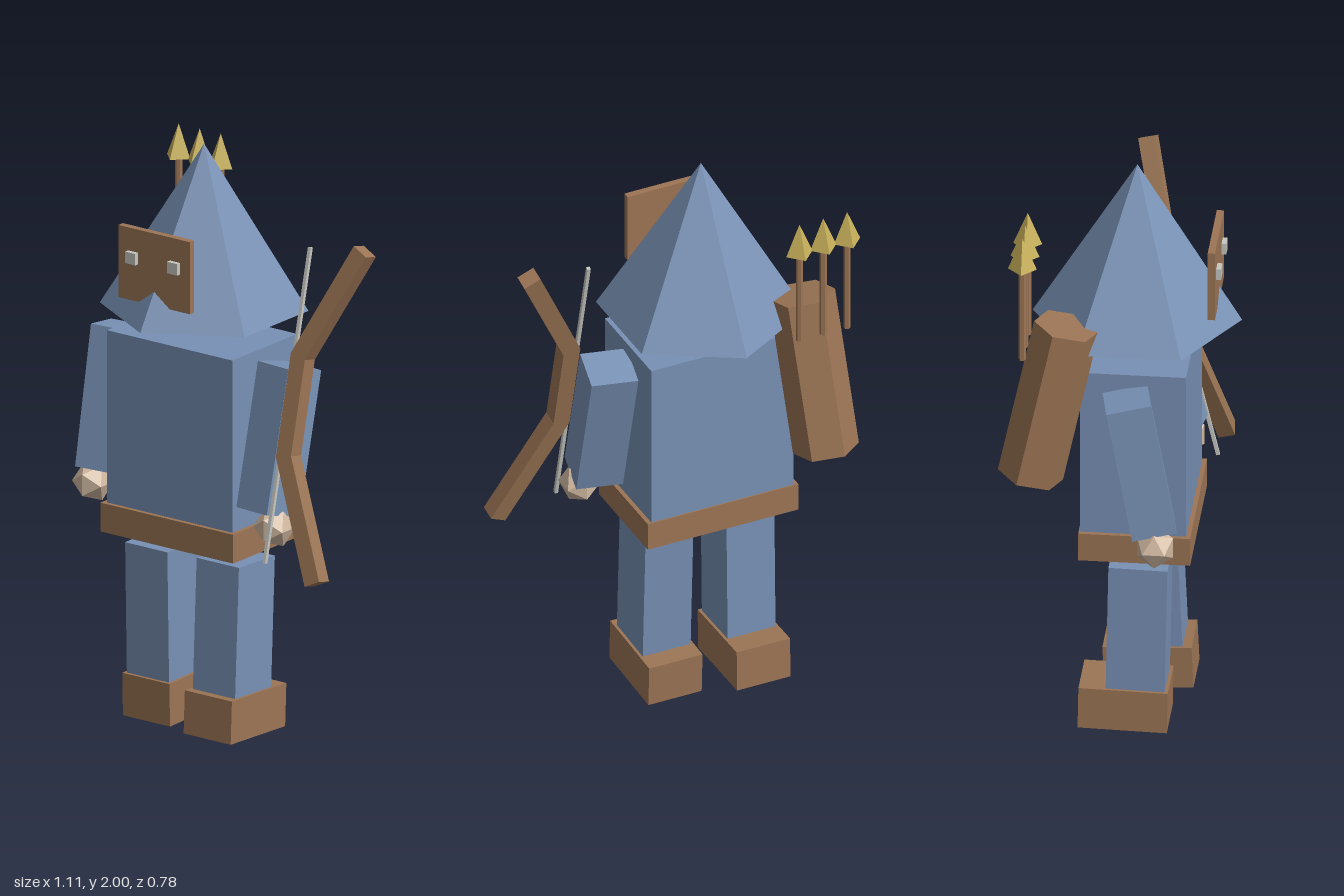
import * as THREE from 'three';

const mat = (name, color) => {
  const m = new THREE.MeshStandardMaterial({ color, flatShading: true });
  m.name = name;
  return m;
};

export function createModel() {
  const model = new THREE.Group();
  model.name = 'hoodedArcher';
  const cloth = mat('blue cloth', 0x7891b5);
  const leather = mat('brown leather', 0x9c7555);
  const skin = mat('skin', 0xd0b8a0);
  const gold = mat('gold', 0xc9b15a);
  const pale = mat('pale grey', 0xc8c8c2);

  const add = (name, geometry, material, pos, rot = [0, 0, 0], parent = model) => {
    const mesh = new THREE.Mesh(geometry, material);
    mesh.name = name;
    mesh.position.set(...pos);
    mesh.rotation.set(...rot);
    parent.add(mesh);
    return mesh;
  };
  const box = (w, h, d) => new THREE.BoxGeometry(w, h, d);
  const outline = (points, depth) => new THREE.ExtrudeGeometry(
    new THREE.Shape(points.map(([x, y]) => new THREE.Vector2(x, y))),
    { depth, bevelEnabled: false }
  ).translate(0, 0, -depth / 2);

  const cx = -0.11; // centre line of the body

  // Body and belt
  add('torso', box(0.52, 0.62, 0.35), cloth, [cx, 1.04, 0.055]);
  add('belt', box(0.55, 0.1, 0.37), leather, [cx, 0.703, 0.06]);

  // Hood, mask with a notched lower edge, and eyes
  add('hood', new THREE.ConeGeometry(0.346, 0.565, 6), cloth, [cx, 1.7175, 0.043]);
  add('mask', outline([
    [-0.148, -0.125], [-0.065, -0.125], [0, -0.077], [0.065, -0.125],
    [0.148, -0.125], [0.148, 0.125], [-0.148, 0.125],
  ], 0.024), leather, [cx, 1.635, 0.302]);
  for (const s of [-1, 1]) {
    add(s > 0 ? 'leftEye' : 'rightEye', box(0.042, 0.04, 0.016), pale, [cx + s * 0.087, 1.66, 0.322]);
  }

  // Arms and hands
  add('leftArm', box(0.16, 0.49, 0.15), cloth, [0.23, 1.06, 0.09], [-0.24, -0.18, 0]);
  add('rightArm', box(0.16, 0.48, 0.15), cloth, [-0.448, 1.065, 0.085], [-0.18, 0.18, 0]);
  add('leftHand', new THREE.IcosahedronGeometry(0.07, 0), skin, [0.275, 0.782, 0.165]);
  add('rightHand', new THREE.IcosahedronGeometry(0.07, 0), skin, [-0.495, 0.778, 0.14]);

  // Legs and boots, in a slight stride
  const leg = (side, x, tilt, lift) => {
    const g = new THREE.Group();
    g.name = side + 'Leg';
    g.position.set(x, 0.605, 0.068);
    g.rotation.x = tilt;
    add(side + 'Shin', box(0.175, 0.46, 0.195), cloth, [0, -0.23, 0], [0, 0, 0], g);
    add(side + 'Boot', box(0.195, 0.148, 0.295), leather, [0, lift, -0.033 - tilt * 0.3], [0, 0, 0], g);
    model.add(g);
  };
  leg('left', 0.04, -0.045, -0.524);
  leg('right', -0.256, 0.02, -0.528);

  // Quiver and arrows
  add('quiver', new THREE.CylinderGeometry(0.11, 0.11, 0.56, 6, 1, false, 0.17), leather,
    [-0.395, 1.255, -0.222], [0.21, 0, -0.055]);
  for (let i = 0; i < 3; i++) {
    const x = -0.478 + i * 0.087;
    add('arrowShaft' + (i + 1), new THREE.CylinderGeometry(0.012, 0.012, 0.36, 6), leather, [x, 1.63, -0.3]);
    add('arrowHead' + (i + 1), new THREE.ConeGeometry(0.048, 0.115, 4), gold, [x, 1.8475, -0.3]);
  }

  // Bow and string, leaning together
  const bow = new THREE.Group();
  bow.name = 'bow';
  bow.position.set(0, 1.205, 0.143);
  bow.rotation.x = -0.235;
  model.add(bow);
  add('bowLimbs', outline([
    [0.315, 0.178], [0.315, -0.172], [0.505, -0.57], [0.56, -0.543],
    [0.375, -0.157], [0.375, 0.165], [0.56, 0.545], [0.505, 0.572],
  ], 0.056), leather, [0, 0, 0], [0, 0, 0], bow);
  add('bowString', box(0.012, 1.06, 0.012), pale, [0.312, 0, 0], [0, 0, 0], bow);

  return model;
}
